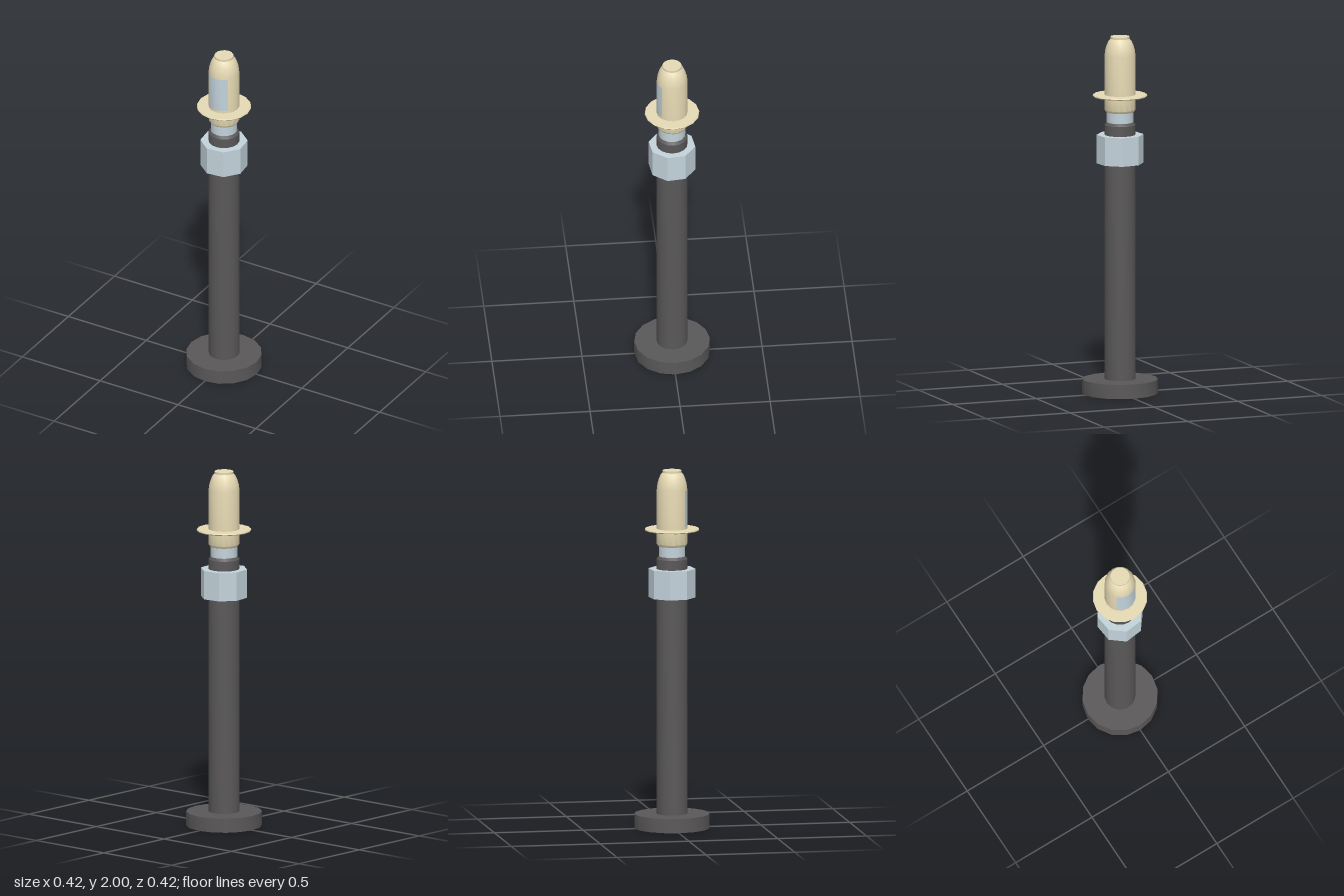
import * as THREE from 'three';
import { toCreasedNormals } from 'three/addons/utils/BufferGeometryUtils.js';

const SIDES = 16;
const paint = (color) => new THREE.MeshStandardMaterial({ color, side: THREE.DoubleSide });

// Turned part from [radius, height] pairs, listed bottom to top
function turned(name, points, material, start = 0, sweep = Math.PI * 2, crease = 0.6) {
  const profile = points.map(([r, y]) => new THREE.Vector2(r, y));
  const segments = Math.round(SIDES * sweep / (Math.PI * 2));
  const geometry = new THREE.LatheGeometry(profile, segments, start, sweep);
  const mesh = new THREE.Mesh(toCreasedNormals(geometry, crease), material);
  mesh.name = name;
  return mesh;
}

export function createModel() {
  const group = new THREE.Group();
  group.name = 'post';
  const dark = paint(0x5a5858);
  const steel = paint(0xc3d3db);
  const cream = paint(0xe6dab4);

  // Hollow foot running into the hollow shaft and its chamfered collar
  group.add(turned('footAndShaft', [
    [0.21, 0], [0.21, 0.08], [0.086, 0.08], [0.086, 1.505], [0.074, 1.52], [0.06, 1.52],
  ], dark));

  // Octagonal nut
  const nut = new THREE.Mesh(
    new THREE.CylinderGeometry(0.131, 0.131, 0.16, 8).toNonIndexed(), steel);
  nut.geometry.computeVertexNormals();
  nut.name = 'nut';
  nut.position.y = 1.37;
  nut.rotation.y = THREE.MathUtils.degToRad(29);
  group.add(nut);

  // Pale neck
  group.add(turned('neck', [[0.074, 1.5], [0.074, 1.6]], steel));

  // Lower sleeve
  group.add(turned('sleeve', [
    [0.06, 1.577], [0.077, 1.577], [0.086, 1.59], [0.086, 1.665],
  ], cream));

  // Thin flange with a slightly dished underside
  group.add(turned('flange', [
    [0.08, 1.655], [0.148, 1.664], [0.152, 1.669], [0.149, 1.675], [0.08, 1.675],
  ], cream, 0, Math.PI * 2, 0.5));

  // Rounded cap with a small flat tip
  group.add(turned('cap', [
    [0.086, 1.67], [0.086, 1.895], [0.082, 1.925], [0.074, 1.953], [0.064, 1.975],
    [0.053, 1.988], [0.053, 2], [0, 2],
  ], cream));

  // Curved window on the front of the cap
  group.add(turned('window', [[0.0868, 1.69], [0.0868, 1.89]], steel, -Math.PI / 4, Math.PI / 2));

  return group;
}
